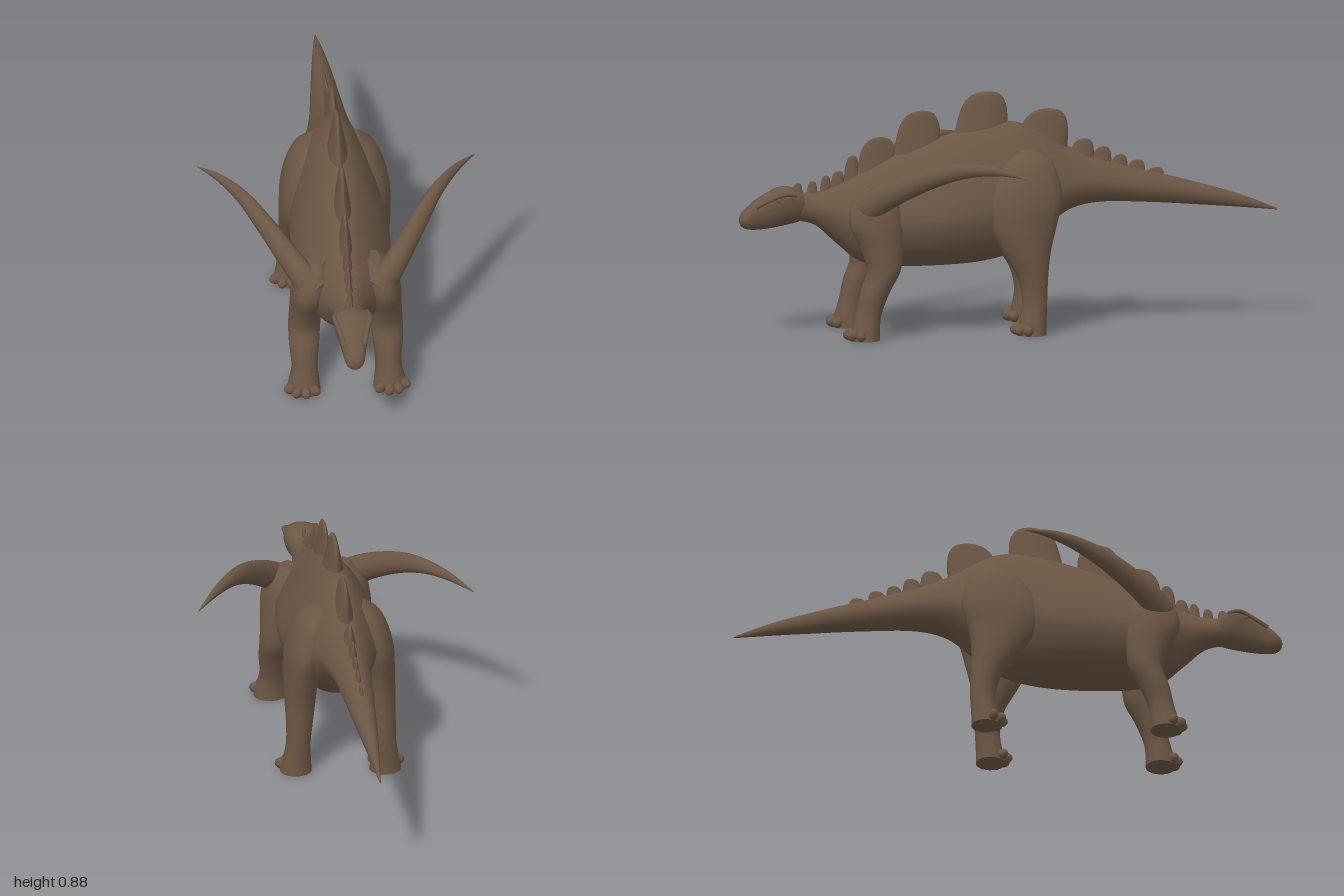
import * as THREE from 'three';

const hide = new THREE.MeshStandardMaterial({ color: 0x6b5644 });
hide.name = 'brown hide';

// Smooth interpolation between the rows of a section list
function sample(rows, t) {
  const f = t * (rows.length - 1);
  const i = Math.min(Math.floor(f), rows.length - 2), u = f - i;
  const at = (k) => rows[Math.max(0, Math.min(rows.length - 1, k))];
  return rows[i].map((b, c) => {
    const a = at(i - 1)[c], d = at(i + 1)[c], e = at(i + 2)[c];
    return b + 0.5 * u * (d - a + u * (2 * a - 5 * b + 4 * d - e + u * (3 * (b - d) + e - a)));
  });
}

// Skin a closed tube over interpolated sections; pointAt(row, angle) gives [x, y, z]
function loft(rows, pointAt, steps = 6, sides = 28) {
  const pos = [], idx = [], rings = (rows.length - 1) * steps;
  const ring = (t) => {
    const row = sample(rows, t);
    for (let j = 0; j < sides; j++) pos.push(...pointAt(row, (j / sides) * Math.PI * 2));
  };
  for (let i = 0; i <= rings; i++) ring(i / rings);
  for (let i = 0; i < rings; i++) {
    for (let j = 0; j < sides; j++) {
      const a = i * sides + j, b = i * sides + (j + 1) % sides;
      idx.push(a, b, a + sides, b, b + sides, a + sides);
    }
  }
  // End caps have their own ring so their rim stays sharp
  for (const t of [0, 1]) {
    const s = pos.length / 3;
    ring(t);
    const c = [0, 0, 0];
    for (let j = 0; j < sides; j++) for (let k = 0; k < 3; k++) c[k] += pos[(s + j) * 3 + k] / sides;
    pos.push(...c);
    for (let j = 0; j < sides; j++) {
      const a = s + j, b = s + (j + 1) % sides;
      idx.push(...(t ? [a, b, s + sides] : [b, a, s + sides]));
    }
  }
  // Turn the faces outwards when the enclosed volume is negative
  const v = (i) => new THREE.Vector3().fromArray(pos, i * 3);
  let volume = 0;
  for (let i = 0; i < idx.length; i += 3) volume += v(idx[i]).dot(v(idx[i + 1]).cross(v(idx[i + 2])));
  if (volume < 0) idx.reverse();
  const g = new THREE.BufferGeometry();
  g.setAttribute('position', new THREE.Float32BufferAttribute(pos, 3));
  g.setIndex(idx);
  g.computeVertexNormals();
  return g;
}

// Upright parts: row = [y, x, z, rx, rz]
const upright = ([y, x, z, rx, rz], a) => [x + rx * Math.cos(a), y, z + rz * Math.sin(a)];

// Body: row = [z, bottom, widest level, top, half width, pinch of the upper half]
const trunk = ([z, lo, mid, hi, w, pinch], a) => {
  const s = Math.sin(a);
  return [w * Math.cos(a) * (1 - pinch * Math.max(0, s)), mid + s * (s > 0 ? hi - mid : mid - lo), z];
};

export function createModel() {
  const model = new THREE.Group();
  model.name = 'platedDinosaur';
  const add = (name, geometry, parent = model) => {
    const m = new THREE.Mesh(geometry, hide);
    m.name = name;
    parent.add(m);
    return m;
  };
  const blob = (name, p, r, parent, yaw = 0, pitch = 0) => {
    const m = add(name, new THREE.SphereGeometry(1, 16, 12), parent);
    m.position.set(...p);
    m.scale.set(...r);
    m.rotation.set(pitch, yaw, 0, 'YXZ');
  };

  // Neck, barrel and tail in one skin
  add('body', loft([
    [0.80, 0.425, 0.475, 0.53, 0.05, 0],
    [0.72, 0.405, 0.465, 0.525, 0.054, 0.1],
    [0.64, 0.335, 0.45, 0.55, 0.085, 0.25],
    [0.55, 0.265, 0.43, 0.595, 0.135, 0.35],
    [0.42, 0.245, 0.43, 0.655, 0.165, 0.4],
    [0.25, 0.243, 0.44, 0.715, 0.182, 0.35],
    [0.10, 0.253, 0.46, 0.755, 0.172, 0.35],
    [-0.02, 0.285, 0.49, 0.762, 0.155, 0.35],
    [-0.12, 0.355, 0.51, 0.725, 0.135, 0.35],
    [-0.22, 0.43, 0.53, 0.665, 0.10, 0.3],
    [-0.34, 0.455, 0.53, 0.615, 0.072, 0.25],
    [-0.52, 0.448, 0.505, 0.565, 0.053, 0.15],
    [-0.70, 0.433, 0.475, 0.515, 0.036, 0],
    [-0.86, 0.418, 0.442, 0.466, 0.019, 0],
    [-1.00, 0.403, 0.406, 0.409, 0.002, 0],
  ], trunk, 6, 36));

  // Wedge head with a broad flat crown and a blunt beak
  add('head', loft([
    [0.75, 0.435, 0.475, 0.505, 0.035, 0],
    [0.785, 0.418, 0.50, 0.538, 0.058, 0],
    [0.83, 0.408, 0.51, 0.550, 0.068, -0.15],
    [0.88, 0.399, 0.485, 0.536, 0.057, -0.2],
    [0.93, 0.394, 0.455, 0.509, 0.044, -0.2],
    [0.97, 0.396, 0.44, 0.478, 0.037, -0.1],
    [0.993, 0.408, 0.432, 0.455, 0.024, 0],
    [1.00, 0.422, 0.43, 0.44, 0.008, 0],
  ], trunk));

  // Back plates: [front z, back z, base y, tip y, half thickness]
  const plates = [
    [0.805, 0.765, 0.50, 0.560, 0.011], [0.75, 0.71, 0.50, 0.565, 0.011],
    [0.70, 0.66, 0.51, 0.585, 0.012], [0.66, 0.61, 0.53, 0.60, 0.013],
    [0.61, 0.555, 0.55, 0.655, 0.015], [0.56, 0.415, 0.57, 0.72, 0.02],
    [0.42, 0.25, 0.64, 0.812, 0.024], [0.19, 0.0, 0.71, 0.875, 0.028],
    [-0.04, -0.225, 0.66, 0.805, 0.026], [-0.23, -0.32, 0.60, 0.69, 0.02],
    [-0.31, -0.385, 0.57, 0.658, 0.016], [-0.38, -0.445, 0.55, 0.627, 0.014],
    [-0.44, -0.51, 0.54, 0.605, 0.012], [-0.51, -0.58, 0.52, 0.575, 0.011],
  ];
  const plateGroup = new THREE.Group();
  plateGroup.name = 'backPlates';
  model.add(plateGroup);
  for (const [z0, z1, y0, y1, t] of plates) {
    const h = y1 - y0, r = (z0 - z1) / 2, z = (z0 + z1) / 2;
    add('plate', loft([
      [y0, 0, z + r * 0.1, t * 1.5, r * 1.05],
      [y0 + h * 0.4, 0, z, t, r * 0.97],
      [y0 + h * 0.7, 0, z - r * 0.06, t * 0.65, r * 0.86],
      [y0 + h * 0.9, 0, z - r * 0.12, t * 0.4, r * 0.62],
      [y0 + h * 0.975, 0, z - r * 0.16, t * 0.25, r * 0.36],
      [y1, 0, z - r * 0.18, t * 0.1, r * 0.06],
    ], upright, 3, 20), plateGroup);
  }

  for (const s of [1, -1]) {
    const side = s > 0 ? 'left' : 'right';

    // Brow ridge, eye and cheek
    add(side + 'Brow', new THREE.TubeGeometry(new THREE.CatmullRomCurve3([
      [0.055, 0.525, 0.80], [0.065, 0.53, 0.84], [0.052, 0.513, 0.885], [0.036, 0.482, 0.945],
    ].map(([x, y, z]) => new THREE.Vector3(x * s, y, z))), 16, 0.009, 8));
    blob(side + 'Eye', [0.056 * s, 0.507, 0.862], [0.009, 0.011, 0.014]);

    // Sweeping shoulder spine: row = [x, y, z, radius]
    const path = [
      [0.09, 0.445, 0.585, 0.06], [0.145, 0.485, 0.55, 0.058], [0.205, 0.54, 0.48, 0.05],
      [0.285, 0.605, 0.36, 0.04], [0.355, 0.643, 0.245, 0.029],
      [0.43, 0.65, 0.135, 0.017], [0.505, 0.631, 0.035, 0.002],
    ];
    const along = new THREE.Vector3(0.52, 0.22, -0.78).normalize();
    const across = new THREE.Vector3(0.83, 0, 0.55).normalize();
    const lift = along.clone().cross(across).normalize();
    add(side + 'ShoulderSpine', loft(path, ([x, y, z, r], a) => {
      const c = r * 0.8 * Math.cos(a), d = r * Math.sin(a);
      return [s * (x + across.x * c + lift.x * d), y + across.y * c + lift.y * d,
        z + across.z * c + lift.z * d];
    }, 6, 20));

    // Legs, top to sole; the right hind foot stands a little further back
    const back = s > 0 ? 0 : -0.035;
    const legs = {
      FrontLeg: [
        [0.55, 0.10, 0.51, 0.025, 0.04], [0.50, 0.12, 0.52, 0.06, 0.085],
        [0.42, 0.135, 0.52, 0.066, 0.098], [0.33, 0.145, 0.50, 0.06, 0.078],
        [0.25, 0.15, 0.495, 0.059, 0.062], [0.18, 0.153, 0.525, 0.055, 0.055],
        [0.10, 0.153, 0.55, 0.048, 0.048], [0.04, 0.156, 0.563, 0.056, 0.052],
        [0.0, 0.158, 0.567, 0.062, 0.056],
      ],
      HindLeg: [
        [0.67, 0.07, -0.06, 0.025, 0.04], [0.61, 0.10, -0.05, 0.058, 0.10],
        [0.50, 0.128, -0.035, 0.068, 0.14], [0.40, 0.14, -0.028, 0.064, 0.125],
        [0.30, 0.145, -0.04 + back * 0.4, 0.058, 0.088],
        [0.21, 0.15, -0.06 + back * 0.8, 0.05, 0.057],
        [0.12, 0.155, -0.066 + back, 0.045, 0.046],
        [0.04, 0.16, -0.058 + back, 0.053, 0.05], [0.0, 0.162, -0.054 + back, 0.058, 0.054],
      ],
    };
    for (const [name, rows] of Object.entries(legs)) {
      const leg = new THREE.Group();
      leg.name = side + name;
      model.add(leg);
      add('limb', loft(rows.map(([y, x, z, rx, rz]) => [y, x * s, z, rx, rz]), upright, 6, 24), leg);
      // Stubby toes fanned around the front and outer rim
      const [, fx, fz] = rows[rows.length - 1];
      for (const turn of [-0.75, -0.1, 0.5, 1.15]) {
        const reach = 0.053;
        blob('toe', [s * (fx + Math.sin(turn) * reach), 0.021, fz + Math.cos(turn) * reach],
          [0.018, 0.021, 0.027], leg, s * turn);
      }
    }
  }
  return model;
}
